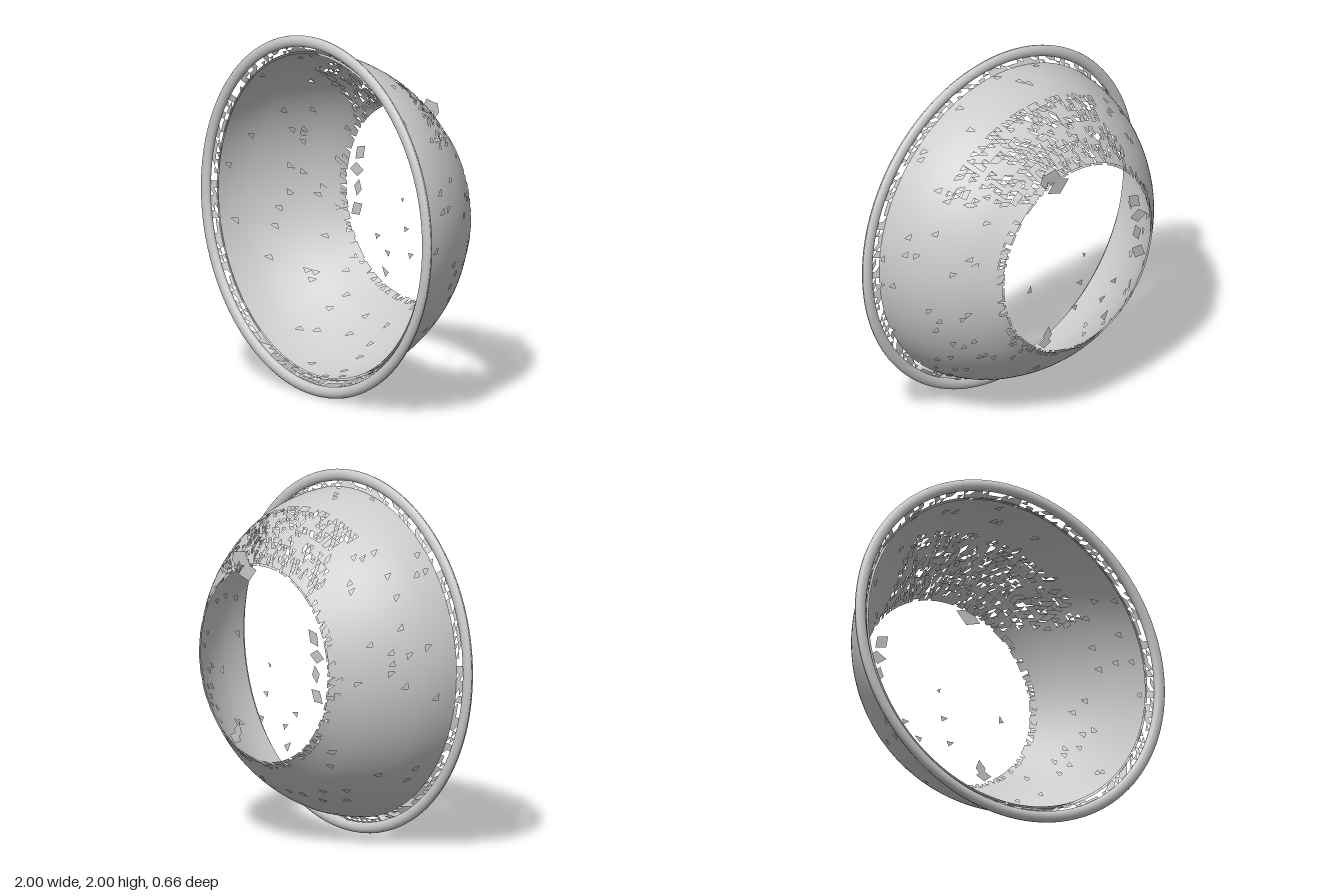
import * as THREE from 'three';

const material = new THREE.MeshStandardMaterial({ color: 0xcccccc, side: THREE.DoubleSide });

// Small seeded generator for the chipped surfaces
let seed = 7;
const rand = () => {
  seed = (seed * 16807) % 2147483647;
  return seed / 2147483647;
};

// Revolves [radius, z] points around the z axis
function revolve(points, segments = 160) {
  const geometry = new THREE.LatheGeometry(points.map(([r, z]) => new THREE.Vector2(r, z)), segments);
  return geometry.rotateX(Math.PI / 2);
}

// Leaves out triangles with the chance given for their centre
function chip(geometry, chance) {
  const p = geometry.attributes.position;
  const kept = [];
  for (let i = 0; i < geometry.index.count; i += 3) {
    const c = [0, 1, 2].map((k) => geometry.index.getX(i + k));
    const mean = (get) => c.reduce((sum, v) => sum + p[get](v), 0) / 3;
    if (rand() >= chance(mean('getX'), mean('getY'), mean('getZ'))) kept.push(...c);
  }
  geometry.setIndex(kept);
  return geometry;
}

export function createModel() {
  seed = 7;
  const group = new THREE.Group();
  const add = (name, geometry) => {
    const mesh = new THREE.Mesh(geometry, material);
    mesh.name = name;
    mesh.position.y = 1;
    group.add(mesh);
    return mesh;
  };

  // Curved wall, open at the base
  const curve = new THREE.SplineCurve([
    [0.55, -0.33], [0.685, -0.2], [0.765, -0.1], [0.825, 0],
    [0.87, 0.1], [0.897, 0.2], [0.908, 0.28],
  ].map(([r, z]) => new THREE.Vector2(r, z)));
  const wall = (inset) => curve.getSpacedPoints(20).map((v) => [v.x - inset, v.y]);

  // Most of the damage is high up, towards the base
  const damage = (x, y, z) => {
    if (z < -0.31) return 0.3;
    if (y > 0.45 && x > -0.4 && z < 0) return 0.35;
    return 0.015;
  };
  add('outerWall', chip(revolve(wall(0)), damage));
  add('innerWall', chip(revolve(wall(0.012)), damage));

  // Rounded rim ring
  const rim = [];
  for (let i = 0; i <= 16; i++) {
    const a = (i / 16) * Math.PI * 2;
    rim.push([0.968 + 0.032 * Math.cos(a), 0.309 + 0.024 * Math.sin(a)]);
  }
  add('rim', revolve(rim, 128));

  // Broken strip joining the wall to the rim
  add('rimJoint', chip(revolve([[0.905, 0.275], [0.922, 0.29], [0.942, 0.3]], 140), () => 0.45));

  // Loose chips left in the plane of the base: x, y, size
  const chips = [
    [0.14, 0.49, 0.08], [0.18, 0.56, 0.07], [0.24, 0.55, 0.05], [-0.45, 0.1, 0.06],
    [-0.45, -0.12, 0.06], [-0.42, 0.2, 0.06], [-0.44, 0, 0.05], [0.35, -0.08, 0.03],
    [-0.05, 0, 0.02], [-0.27, -0.24, 0.03], [-0.02, -0.16, 0.03], [-0.18, -0.32, 0.03],
    [0.22, -0.4, 0.05], [0.24, -0.44, 0.05], [0.02, -0.3, 0.03], [-0.2, -0.43, 0.04],
  ];
  chips.forEach(([x, y, size], i) => {
    const mesh = add('baseChip' + (i + 1), new THREE.CircleGeometry(size, size > 0.045 ? 4 : 3));
    mesh.position.set(x, y + 1, -0.33);
    mesh.rotation.z = rand() * Math.PI;
    mesh.scale.y = 0.65;
  });

  return group;
}
